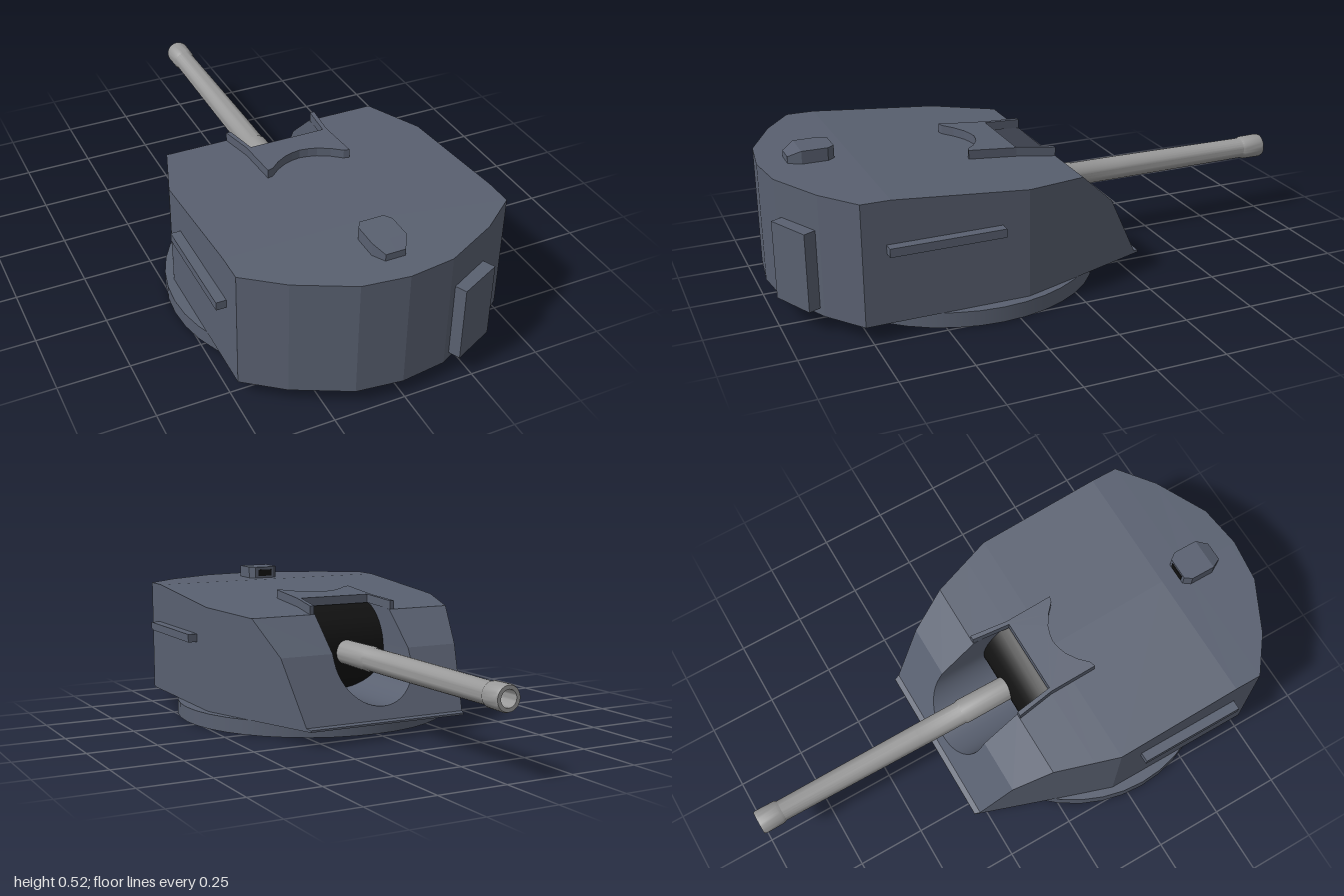
import * as THREE from 'three';
import { toCreasedNormals } from 'three/addons/utils/BufferGeometryUtils.js';

const BORE_Y = 0.265, SLOT = 0.155;

// Piecewise linear lookup through [input, output] pairs
function lookup(pairs, v) {
  for (let i = 1; i < pairs.length; i++) {
    const [a, p] = pairs[i - 1], [b, q] = pairs[i];
    if (v <= b) return p + (q - p) * (v - a) / (b - a);
  }
  return pairs[pairs.length - 1][1];
}

// Height of the sloped front plate and roof, and half width of the walls, along z
const ROOF = [[-0.3, 0.062], [-0.28, 0.066], [-0.165, 0.295], [-0.03, 0.42], [0.67, 0.48], [1, 0.48]];
const WIDTH = [[-0.3, 0.31], [-0.03, 0.403], [0.2, 0.48], [0.77, 0.48], [0.87, 0.35], [0.965, 0.16], [0.985, 0]];
const roofY = z => lookup(ROOF, z);
const frontZ = y => lookup(ROOF.slice(0, 5).map(([z, h]) => [h, z]), y);

// Non-indexed geometry from quads
function quadGeometry(quads) {
  const pos = [];
  for (const [a, b, c, d] of quads) pos.push(...a, ...b, ...c, ...a, ...c, ...d);
  const g = new THREE.BufferGeometry();
  g.setAttribute('position', new THREE.Float32BufferAttribute(pos, 3));
  g.computeVertexNormals();
  return g;
}

// Mirrored solid from stations along z; 'hole' is the half width left open on top
function loft(stations) {
  const half = [];
  for (let i = 1; i < stations.length; i++) {
    const a = stations[i - 1], b = stations[i];
    half.push([[a.hole, a.top, a.z], [b.hole, b.top, b.z], [b.w, b.top, b.z], [a.w, a.top, a.z]]);
    half.push([[a.w, a.bot, a.z], [a.w, a.top, a.z], [b.w, b.top, b.z], [b.w, b.bot, b.z]]);
    half.push([[0, a.bot, a.z], [a.w, a.bot, a.z], [b.w, b.bot, b.z], [0, b.bot, b.z]]);
  }
  const cap = s => [[0, s.bot, s.z], [0, s.top, s.z], [s.w, s.top, s.z], [s.w, s.bot, s.z]];
  half.push(cap(stations[0]), cap(stations[stations.length - 1]).reverse());
  const mirrored = half.map(q => q.map(([x, y, z]) => [-x, y, z]).reverse());
  return quadGeometry([...half, ...mirrored]);
}

export function createModel() {
  const group = new THREE.Group();
  const material = (name, color, side = THREE.FrontSide) => {
    const m = new THREE.MeshStandardMaterial({ color, side });
    m.name = name;
    return m;
  };
  const armour = material('blue grey armour', 0x596070, THREE.DoubleSide);
  const steel = material('bare steel', 0x999999);
  const black = material('black', 0x111111);
  const add = (name, geometry, mat, x = 0, y = 0, z = 0) => {
    const mesh = new THREE.Mesh(geometry, mat);
    mesh.name = name;
    mesh.position.set(x, y, z);
    group.add(mesh);
    return mesh;
  };

  // Turret ring
  add('turretRing', new THREE.CylinderGeometry(0.52, 0.52, 0.055, 40), armour, 0, 0.0275, 0.31);

  // Hull, with a round-bottomed gun slot through the front plate and roof
  const holeAt = z => {
    const drop = Math.max(0, BORE_Y - roofY(z));
    return Math.sqrt(Math.max(0, SLOT * SLOT - drop * drop));
  };
  const station = (z, open) => ({ z, w: lookup(WIDTH, z), top: roofY(z), bot: 0.055, hole: open ? holeAt(z) : 0 });
  const slotStart = frontZ(BORE_Y - SLOT);
  const slotRim = [];
  for (let i = 0; i <= 12; i++) slotRim.push(frontZ(BORE_Y - SLOT * Math.cos(i / 12 * Math.PI / 2)));
  add('hull', loft([
    ...[-0.3, -0.28, slotStart].map(z => station(z, false)),
    ...[...slotRim, -0.165, -0.03, 0.11].map(z => station(z, true)),
    ...[0.11, 0.2, 0.67, 0.77, 0.87, 0.965, 0.985].map(z => station(z, false)),
  ]), armour);

  // Floor and walls of the gun slot
  const profile = [[-SLOT, roofY(0.11), 0.11], [-SLOT, 0.42, -0.03], [-SLOT, 0.295, -0.165]];
  for (let i = 0; i <= 24; i++) {
    const t = Math.PI * i / 24, y = BORE_Y - SLOT * Math.sin(t);
    profile.push([-SLOT * Math.cos(t), y, frontZ(y)]);
  }
  profile.push([SLOT, 0.295, -0.165], [SLOT, 0.42, -0.03], [SLOT, roofY(0.11), 0.11]);
  const slotQuads = [];
  for (let i = 1; i < profile.length; i++) {
    const a = profile[i - 1], b = profile[i];
    slotQuads.push([a, [a[0], a[1], 0.2], [b[0], b[1], 0.2], b]);
  }
  add('gunSlot', toCreasedNormals(quadGeometry(slotQuads), 0.5), armour);

  // Rotating mantlet drum inside the slot
  const drum = new THREE.CylinderGeometry(0.175, 0.175, 0.308, 40).rotateZ(Math.PI / 2);
  add('mantletDrum', drum, black, 0, BORE_Y, 0.185);

  // Hood plate around the slot, following the roof slope
  const side = [[0.14, 0.11], [0.158, -0.03], [0.175, -0.03], [0.155, 0.11], [0.155, 0.288],
    [0.135, 0.283], [0.1, 0.25], [0.06, 0.225], [0.03, 0.215]];
  const outline = [...side, [0, 0.21], ...side.map(([x, z]) => [-x, z]).reverse()];
  const hood = new THREE.ExtrudeGeometry(
    new THREE.Shape(outline.map(([x, z]) => new THREE.Vector2(x, z))), { depth: 0.032, bevelEnabled: false });
  hood.rotateX(Math.PI / 2);
  const p = hood.attributes.position;
  for (let i = 0; i < p.count; i++) p.setY(i, p.getY(i) + 0.032 + roofY(p.getZ(i)));
  hood.computeVertexNormals();
  add('gunHood', hood, armour);

  // Gun barrel with breech sleeve, muzzle collar and open bore
  const barrelProfile = [[0.045, -0.06], [0.047, 0.17], [0.043, 0.18], [0.043, 0.36], [0.039, 0.91],
    [0.044, 0.92], [0.045, 0.99], [0.042, 1], [0.029, 1], [0.027, 0.9], [0, 0.9]];
  const barrel = new THREE.LatheGeometry(barrelProfile.map(([r, l]) => new THREE.Vector2(r, l)), 28);
  add('gunBarrel', toCreasedNormals(barrel.rotateX(-Math.PI / 2), 0.5), steel, 0, BORE_Y, 0);

  // Side rails
  for (const s of [-1, 1]) {
    add(s > 0 ? 'leftRail' : 'rightRail', new THREE.BoxGeometry(0.045, 0.03, 0.395), armour, s * 0.4925, 0.316, 0.4925);
  }

  // Rear hatch on the angled back wall
  const hatch = add('rearHatch', new THREE.BoxGeometry(0.166, 0.275, 0.045), armour, 0.268, 0.217, 0.935);
  hatch.rotation.y = 0.44;

  // Periscope with sloped rear and dark viewing window
  const scope = [[0.73, 0.042, 0.525], [0.755, 0.06, 0.525], [0.845, 0.06, 0.525], [0.888, 0.035, 0.504]];
  add('periscope', loft(scope.map(([z, w, top]) => ({ z, w, top, bot: 0.478, hole: 0 }))), armour);
  add('periscopeWindow', new THREE.BoxGeometry(0.06, 0.026, 0.004), black, 0, 0.501, 0.729);

  return group;
}
